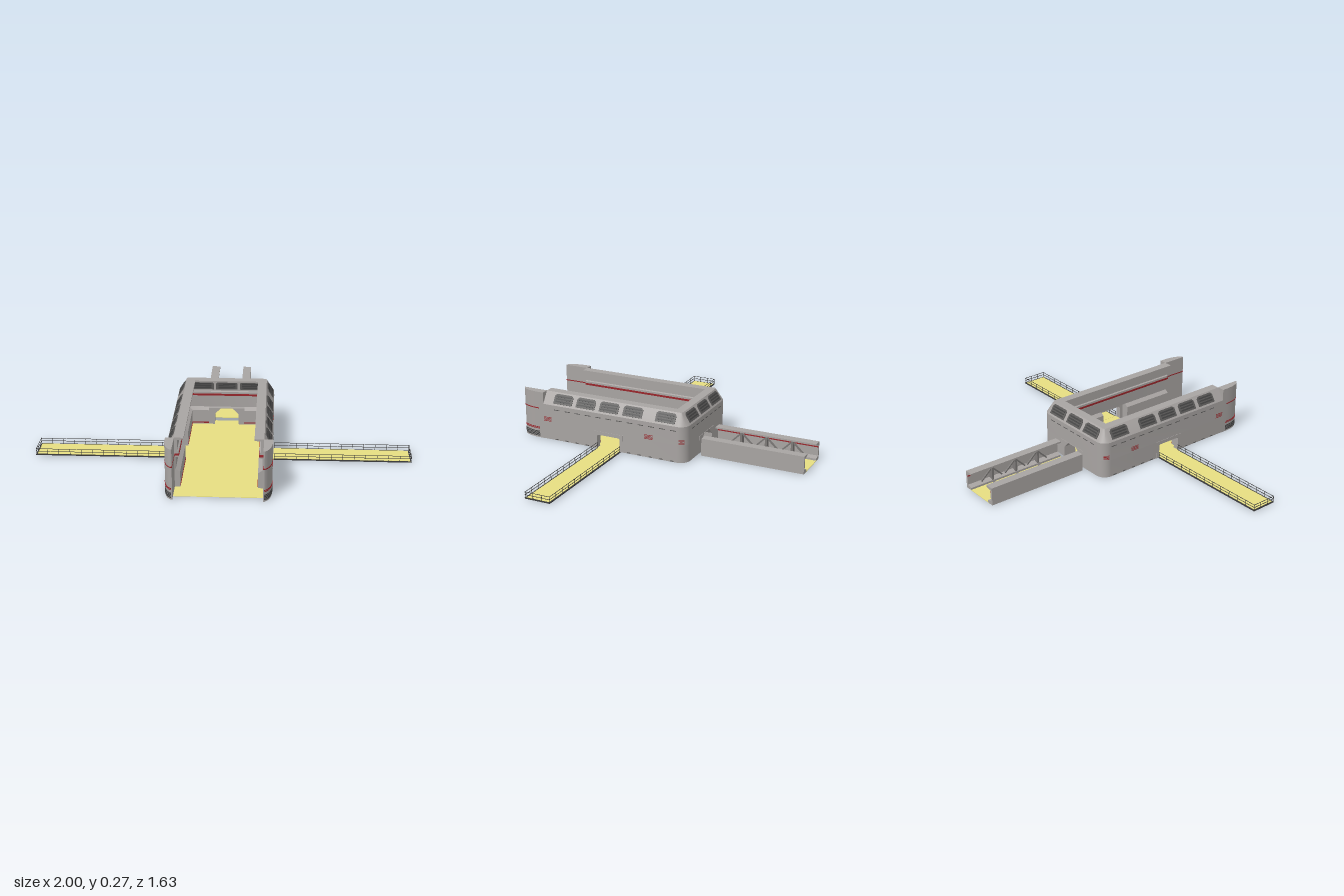
import * as THREE from 'three';
import { mergeGeometries, toCreasedNormals } from 'three/addons/utils/BufferGeometryUtils.js';

const mat = (name, color) => {
  const m = new THREE.MeshStandardMaterial({ color });
  m.name = name;
  return m;
};

// Plan of the U-shaped hull: half width, back edge, front end, corner radius
const W = 0.267, BACK = -0.207, FRONT = 0.67, R = 0.055;

export function createModel() {
  const M = {
    hull: mat('hull grey', 0xa8a4a2),
    trim: mat('trim grey', 0x7d7a78),
    window: mat('window charcoal', 0x5a5958),
    louvre: mat('louvre dark', 0x434343),
    deck: mat('deck yellow', 0xe6de81),
    rail: mat('rail black', 0x3a3a3a),
    red: mat('marking red', 0x98262b),
  };
  const root = new THREE.Group();
  const add = (name, geo, material, parent = root) => {
    const m = new THREE.Mesh(geo, material);
    m.name = name;
    parent.add(m);
  };
  // Box given by its limits
  const box = (x0, x1, y0, y1, z0, z1) =>
    new THREE.BoxGeometry(Math.abs(x1 - x0), y1 - y0, Math.abs(z1 - z0))
      .translate((x0 + x1) / 2, (y0 + y1) / 2, (z0 + z1) / 2);
  const bar = (a, b, t) => {
    const A = new THREE.Vector3(...a), B = new THREE.Vector3(...b), d = B.clone().sub(A);
    const q = new THREE.Quaternion().setFromUnitVectors(new THREE.Vector3(0, 1, 0), d.clone().normalize());
    return new THREE.BoxGeometry(t, d.length(), t).applyQuaternion(q)
      .translate((a[0] + b[0]) / 2, (a[1] + b[1]) / 2, (a[2] + b[2]) / 2);
  };
  const shape = (points) => new THREE.Shape(points.map((p) => new THREE.Vector2(...p)));
  const extrude = (s, depth) => new THREE.ExtrudeGeometry(s, { depth, bevelEnabled: false });

  // Stations along the hull plan; each gives x, z for an inset d
  const at = (s, z) => (d) => [s * (W - d), z];
  const back = (x) => (d) => [x, BACK + d];
  const corner = (s) => Array.from({ length: 9 }, (_, i) => (d) => {
    const a = (s > 0 ? i : 8 - i) / 8 * Math.PI / 2, r = Math.max(R - d, 0);
    return [s * (W - d - r + r * Math.cos(a)), BACK + d + r - r * Math.sin(a)];
  });

  // Sweep a closed [inset, height] profile along stations, with end caps
  const sweep = (profile, path) => {
    const pos = [], n = profile.length;
    const P = (i, j) => {
      const [d, y] = profile[j % n], [x, z] = path[i](d);
      return [x, y, z];
    };
    for (let i = 0; i < path.length - 1; i++)
      for (let j = 0; j < n; j++)
        pos.push(...P(i, j), ...P(i + 1, j), ...P(i, j + 1), ...P(i + 1, j), ...P(i + 1, j + 1), ...P(i, j + 1));
    const pts = profile.map((p) => new THREE.Vector2(...p));
    for (const f of THREE.ShapeUtils.triangulateShape(pts.slice(), [])) {
      let [a, b, c] = f;
      if (THREE.ShapeUtils.area([pts[a], pts[b], pts[c]]) < 0) [b, c] = [c, b];
      const e = path.length - 1;
      pos.push(...P(0, a), ...P(0, c), ...P(0, b), ...P(e, a), ...P(e, b), ...P(e, c));
    }
    const g = new THREE.BufferGeometry();
    g.setAttribute('position', new THREE.Float32BufferAttribute(pos, 3));
    return toCreasedNormals(g, 0.45);
  };
  // Thin rectangular profile between two insets and two heights
  const strip = (d0, d1, y0, y1) => [[d0, y0], [d0, y1], [d1, y1], [d1, y0]];

  // Upper hull: sloped window band, flat rim, inner gallery beam
  const whole = [at(1, FRONT), ...corner(1), ...corner(-1), at(-1, FRONT)];
  add('upperHull', sweep([[0, 0.1], [0, 0.205], [0.042, 0.271], [0.091, 0.271], [0.091, 0.262], [0.058, 0.258],
    [0.058, 0.2], [0.066, 0.196], [0.066, 0.168], [0.05, 0.164], [0.05, 0.1]], whole), M.hull);
  add('galleryStripe', sweep(strip(0.064, 0.068, 0.174, 0.185), whole), M.red);

  // Lower hull in four runs, leaving the side doors and rear passage open
  const runs = [
    [at(1, FRONT), at(1, 0.35)],
    [at(1, 0.17), ...corner(1), back(0.1)],
    [back(-0.1), ...corner(-1), at(-1, 0.17)],
    [at(-1, 0.35), at(-1, FRONT)],
  ];
  for (const run of runs) {
    add('lowerHull', sweep([[0, 0.001], [0, 0.1], [0.05, 0.1], [0.072, 0.085], [0.072, 0.001]], run), M.hull);
    add('plinthStripe', sweep(strip(0.07, 0.074, 0.008, 0.015), run), M.red);
  }

  // Chamfered door frames, drawn in x-y and extruded along z
  const frame = (halfOut, topOut, half, top, cut, depth) =>
    extrude(shape([[-halfOut, 0.001], [-half, 0.001], [-half, top - cut], [-half + cut, top], [half - cut, top],
      [half, top - cut], [half, 0.001], [halfOut, 0.001], [halfOut, topOut], [-halfOut, topOut]]), depth);
  for (const s of [1, -1])
    add('sideDoorFrame', frame(0.09, 0.1, 0.07, 0.08, 0.006, 0.03)
      .rotateY(Math.PI / 2).translate(s > 0 ? 0.239 : -0.269, 0, 0.26), M.hull);
  add('rearPassageFrame', frame(0.1, 0.1, 0.068, 0.098, 0.035, 0.074).translate(0, 0, BACK - 0.002), M.hull);

  // Main floor
  add('mainFloor', box(-0.225, 0.225, 0, 0.002, BACK + 0.02, 0.775), M.deck);

  // Plan curve of the front fins
  const finCurve = new THREE.CubicBezierCurve(new THREE.Vector2(W, 0.7), new THREE.Vector2(W, 0.76),
    new THREE.Vector2(0.25, 0.8), new THREE.Vector2(0.229, 0.813)).getPoints(10);
  for (const s of [1, -1]) {
    add('doorSill', box(s * 0.225, s * 0.272, 0, 0.005, 0.192, 0.328), M.deck);
    const plan = [[W, FRONT], ...finCurve.map((p) => [p.x, p.y]), [0.223, 0.813], [0.223, FRONT]];
    add('frontFin', toCreasedNormals(extrude(shape(plan.map(([x, z]) => [s * x, -z])), 0.271)
      .rotateX(-Math.PI / 2), 0.5), M.hull);

    // Thin bands hugging the outside of the fin
    const band = (name, y, h, material) => {
      const parts = [];
      for (let i = 0; i < 10; i++) {
        const a = finCurve[i], b = finCurve[i + 1];
        parts.push(new THREE.BoxGeometry(0.003, h, a.distanceTo(b) + 0.001)
          .rotateY(s * Math.atan2(b.x - a.x, b.y - a.y))
          .translate(s * (a.x + b.x) / 2, y, (a.y + b.y) / 2));
      }
      add(name, mergeGeometries(parts), material);
    };
    band('finStripe', 0.176, 0.005, M.red);
    for (const y of [0.055, 0.062]) band('finLowerStripe', y, 0.004, M.red);
    for (const y of [0.012, 0.02, 0.028, 0.036]) band('finVent', y, 0.005, M.louvre);
    add('finInnerStripe', box(s * 0.222, s * 0.224, 0.174, 0.18, FRONT, 0.813), M.red);
    add('finEdgeStripe', box(s * 0.223, s * 0.229, 0.174, 0.18, 0.812, 0.8145), M.red);

    // Markings and dashed seams on the hull sides
    for (const y of [0.107, 0.114, 0.121, 0.128]) {
      for (const z of [0.645, 0.015])
        add('sideMarking', box(s * (W - 0.002), s * (W + 0.001), y, y + 0.003, z - 0.025, z + 0.025), M.red);
      const arc = corner(s);
      add('cornerMarking', sweep(strip(-0.001, 0.002, y, y + 0.003), s > 0 ? arc.slice(1, 5) : arc.slice(4, 8)), M.red);
    }
    for (let i = 0; i < 12; i++) {
      const z = 0.6 - i * 0.065;
      add('seamDash', box(s * (W - 0.002), s * (W + 0.001), 0.178, 0.182, z - 0.035, z), M.window);
      if (z > 0.36 || z < 0.16)
        add('baseDash', box(s * (W - 0.002), s * (W + 0.001), 0.003, 0.008, z - 0.02, z), M.window);
    }
    add('wallEndStripe', box(s * 0.2, s * 0.222, 0.174, 0.185, FRONT, FRONT + 0.002), M.red);
  }
  for (let i = -3; i <= 3; i++)
    add('rearSeamDash', box(i * 0.058 - 0.018, i * 0.058 + 0.018, 0.178, 0.182, BACK - 0.001, BACK + 0.002), M.window);

  // Louvred windows on the sloped band
  const tilt = Math.atan2(0.042, 0.066);
  const louvredWindow = (x, y, z, ry, width, height, rx) => {
    const g = new THREE.Group();
    g.name = 'louvredWindow';
    g.position.set(x, y, z);
    g.rotation.set(rx, ry, 0, 'YXZ');
    const w = width / 2, h = height / 2;
    add('windowPane', extrude(shape([[-w, -h], [w, -h], [w, h * 0.6], [w - 0.012, h], [-w + 0.012, h],
      [-w, h * 0.6]]), 0.003), M.window, g);
    for (let i = -1; i <= 1; i++)
      add('windowLouvre', box(-w * 0.8, w * 0.8, i * h * 0.5 - 0.004, i * h * 0.5 + 0.004, 0.002, 0.0045), M.louvre, g);
    root.add(g);
  };
  const d = 0.0215, y = 0.2388;
  for (const s of [1, -1])
    for (const z of [0.55, 0.407, 0.262, 0.117, -0.08])
      louvredWindow(s * (W - d), y, z, s * Math.PI / 2, 0.117, 0.058, -tilt);
  for (const x of [-0.145, 0, 0.145]) {
    louvredWindow(x, y, BACK + d, Math.PI, 0.12, 0.058, -tilt);
    louvredWindow(x * 0.92, 0.231, BACK + 0.057, 0, 0.12, 0.044, 0);
  }

  // Rear passage: open-topped corridor with C-section walls
  const Z0 = -0.815, Z1 = -0.23;
  add('passageFloor', box(-0.09, 0.09, 0, 0.003, Z0, Z1), M.deck);
  for (const s of [1, -1]) {
    const c = shape([[0.12, 0.001], [0.12, 0.1], [0.072, 0.1], [0.072, 0.091], [0.107, 0.084],
      [0.107, 0.022], [0.078, 0.014], [0.078, 0.001]].map(([x, v]) => [s * x, v]));
    add('passageWall', extrude(c, Z1 - Z0).translate(0, 0, Z0), M.hull);
    add('passageStripe', box(s * 0.105, s * 0.108, 0.07, 0.076, Z0, Z1), M.red);
    // Ribs, floor joints and diagonal braces
    const braces = [];
    for (const z of [-0.675, -0.525, -0.38]) {
      add('passageRib', box(s * 0.08, s * 0.11, 0.01, 0.09, z - 0.006, z + 0.006), M.trim);
      add('floorJoint', box(s * 0.012, s * 0.075, 0.002, 0.007, z - 0.006, z + 0.006), M.trim);
      for (const e of [-1, 1])
        braces.push(bar([s * 0.095, 0.02, z + e * 0.065], [s * 0.09, 0.085, z], 0.008));
    }
    add('passageBraces', mergeGeometries(braces), M.trim);
  }

  // Side bridges with railings
  for (const s of [1, -1]) {
    const x0 = 0.272, x1 = 1, za = 0.184, zb = 0.328, t = 0.001;
    add('bridgeSlab', box(s * x0, s * x1, 0, 0.005, za, zb), M.rail);
    add('bridgeDeck', box(s * x0, s * (x1 - 0.007), 0.005, 0.006, za + 0.007, zb - 0.007), M.deck);
    const rails = [];
    for (const z of [za + 0.002, zb - 0.002]) {
      for (const h of [0.021, 0.036])
        rails.push(box(s * x0, s * x1, h - t, h + t, z - t, z + t));
      for (let i = 0; i <= 12; i++) {
        const x = s * (x0 + 0.002 + i * (x1 - x0 - 0.004) / 12);
        rails.push(box(x - t, x + t, 0.004, 0.037, z - t, z + t));
      }
    }
    for (const h of [0.021, 0.036])
      rails.push(box(s * (x1 - 0.002 - t), s * (x1 - 0.002 + t), h - t, h + t, za, zb));
    for (const z of [za + 0.047, zb - 0.047])
      rails.push(box(s * (x1 - 0.003), s * (x1 - 0.001), 0.004, 0.037, z - t, z + t));
    add('bridgeRailing', mergeGeometries(rails), M.rail);
  }
  return root;
}
